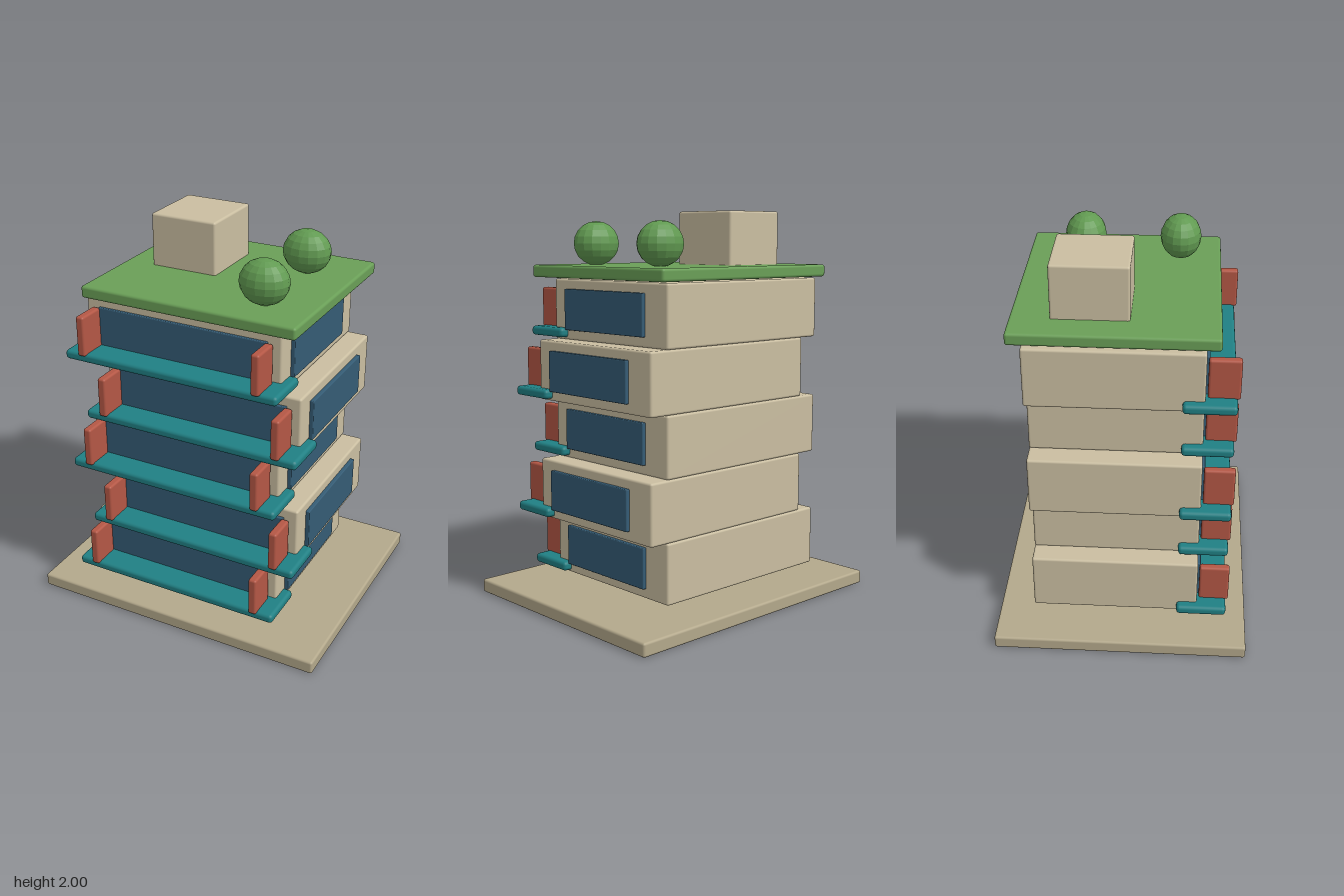
import * as THREE from 'three';
import { RoundedBoxGeometry } from 'three/addons/geometries/RoundedBoxGeometry.js';

const material = (name, color) => {
  const m = new THREE.MeshStandardMaterial({ color });
  m.name = name;
  return m;
};

export function createModel() {
  const stone = material('wall stone', 0xcabea1);
  const paving = material('paving', 0xb3a88b);
  const glass = material('window glass', 0x355c75);
  const teal = material('balcony teal', 0x208084);
  const brick = material('fin red', 0xb45745);
  const grass = material('roof green', 0x6a9f57);
  const leaf = material('bush green', 0x619a51);

  // Softly bevelled box given by its lower and upper corners
  const block = (parent, name, mat, [x0, y0, z0], [x1, y1, z1], radius = 0.01) => {
    const mesh = new THREE.Mesh(new RoundedBoxGeometry(x1 - x0, y1 - y0, z1 - z0, 2, radius), mat);
    mesh.position.set((x0 + x1) / 2, (y0 + y1) / 2, (z0 + z1) / 2);
    mesh.name = name;
    parent.add(mesh);
    return mesh;
  };

  const model = new THREE.Group();
  model.name = 'apartmentBlock';

  // Ground slab
  block(model, 'groundSlab', paving, [-0.795, 0, -0.645], [0.795, 0.07, 0.645], 0.012);

  // Storeys, shifted alternately to either side
  for (let i = 0; i < 5; i++) {
    const storey = new THREE.Group();
    storey.name = `storey${i + 1}`;
    storey.position.set(i % 2 ? 0.05 : -0.055, 0.12 + i * 0.308, 0);
    block(storey, 'walls', stone, [-0.532, 0, -0.46], [0.532, 0.308, 0.39], 0.012);
    block(storey, 'frontWindow', glass, [-0.46, 0.05, 0.38], [0.46, 0.258, 0.405], 0.005);
    block(storey, 'sideWindow', glass, [0.522, 0.05, -0.305], [0.552, 0.258, 0.288], 0.005);
    block(storey, 'balcony', teal, [-0.578, 0.012, 0.285], [0.578, 0.06, 0.54], 0.018);
    for (const side of [-1, 1]) {
      const x = side * 0.472;
      block(storey, side > 0 ? 'leftFin' : 'rightFin', brick,
        [x - 0.022, 0.05, 0.4], [x + 0.022, 0.258, 0.553], 0.012);
    }
    model.add(storey);
  }

  // Roof garden and stair house
  block(model, 'roofGarden', grass, [-0.575, 1.668, -0.53], [0.57, 1.73, 0.456], 0.014);
  block(model, 'stairHouse', stone, [-0.42, 1.715, -0.34], [-0.06, 2, 0.033], 0.012);

  // Faceted bushes
  const ball = new THREE.SphereGeometry(1, 16, 10).toNonIndexed();
  ball.computeVertexNormals();
  for (const z of [0.248, -0.235]) {
    const bush = new THREE.Mesh(ball, leaf);
    bush.name = 'bush';
    bush.scale.set(0.125, 0.112, 0.104);
    bush.position.set(0.315, 1.838, z);
    model.add(bush);
  }
  return model;
}
